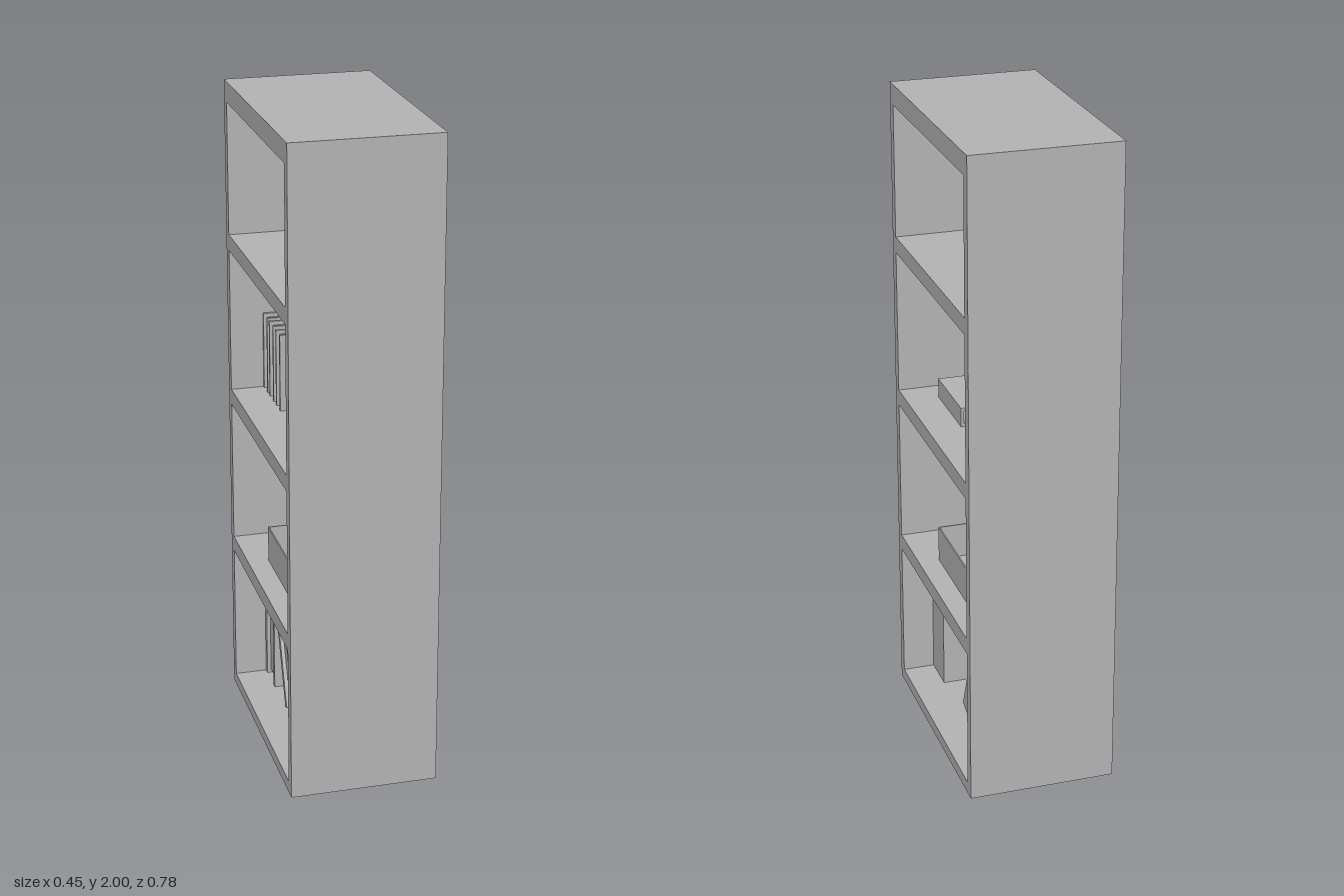
import * as THREE from 'three';

const grey = new THREE.MeshStandardMaterial({ color: 0xb2b2b2 });
grey.name = 'grey';

// Box given by its lower and upper corners
function block(parent, name, [x0, y0, z0], [x1, y1, z1]) {
  const mesh = new THREE.Mesh(new THREE.BoxGeometry(x1 - x0, y1 - y0, z1 - z0), grey);
  mesh.position.set((x0 + x1) / 2, (y0 + y1) / 2, (z0 + z1) / 2);
  mesh.name = name;
  parent.add(mesh);
  return mesh;
}

// Book centred on its origin: thickness along z, spine towards +x
function book(name, width, height, thick) {
  const g = new THREE.Group();
  g.name = name;
  const w = width / 2, h = height / 2, t = thick / 2;
  const c = thick * 0.16, inset = 0.012;
  block(g, 'frontCover', [-w, -h, t - c], [w, h, t]);
  block(g, 'backCover', [-w, -h, -t], [w, h, -t + c]);
  block(g, 'spine', [w - c, -h, -t + c], [w, h, t - c]);
  block(g, 'pages', [-w + inset, -h + inset, -t + c], [w - c, h - inset, t - c]);
  return g;
}

export function createModel() {
  const model = new THREE.Group();
  model.name = 'bookcase';
  const X = 0.225, Z = 0.39, zi = 0.357;

  // Carcass: two tall sides, top and three shelves, open through both faces
  block(model, 'sidePanel', [-X, 0, zi], [X, 2, Z]);
  block(model, 'sidePanel', [-X, 0, -Z], [X, 2, -zi]);
  block(model, 'top', [-X, 1.937, -zi], [X, 2, zi]);
  for (const y of [0.478, 0.979, 1.479]) block(model, 'shelf', [-X, y, -zi], [X, y + 0.05, zi]);

  // Bottom board, hollow underneath behind a thin rim
  block(model, 'bottomBoard', [-X, 0.028, -zi], [X, 0.037, zi]);
  for (const s of [-1, 1]) {
    const a = s * X, b = s * (X - 0.012);
    block(model, 'bottomRim', [Math.min(a, b), 0, -zi], [Math.max(a, b), 0.028, zi]);
  }

  // Thick books on the bottom, one of them leaning
  const thickBooks = [[0.222, 0.296, 0], [0.222, -0.296, 0], [0.2325, -0.105, -0.386]];
  for (const [y, z, tilt] of thickBooks) {
    const b = book(tilt ? 'leaningBook' : 'thickBook', 0.25, 0.37, 0.122);
    b.position.set(0, y, z);
    b.rotation.x = tilt;
    model.add(b);
  }

  // Open tray on the first shelf
  const tray = new THREE.Group();
  tray.name = 'openBox';
  const tx = 0.16, tz = 0.156, y0 = 0.528, y1 = 0.641, w = 0.004;
  block(tray, 'boxFloor', [-tx, y0, -tz], [tx, y0 + w, tz]);
  for (const s of [-1, 1]) {
    const wallX = block(tray, 'boxEnd', [-w / 2, y0 + w, -tz], [w / 2, y1, tz]);
    wallX.position.x = s * (tx - w / 2);
    const wallZ = block(tray, 'boxSide', [-tx + w, y0 + w, -w / 2], [tx - w, y1, w / 2]);
    wallZ.position.z = s * (tz - w / 2);
  }
  model.add(tray);

  // Thin books on the second shelf: three upright, one flat
  for (const z of [-0.164, -0.249, -0.327]) {
    const b = book('thinBook', 0.245, 0.243, 0.057);
    b.position.set(0, 1.15, z);
    model.add(b);
  }
  const flat = book('flatBook', 0.245, 0.243, 0.06);
  flat.rotation.x = Math.PI / 2;
  flat.position.set(0, 1.059, 0.148);
  model.add(flat);

  return model;
}
